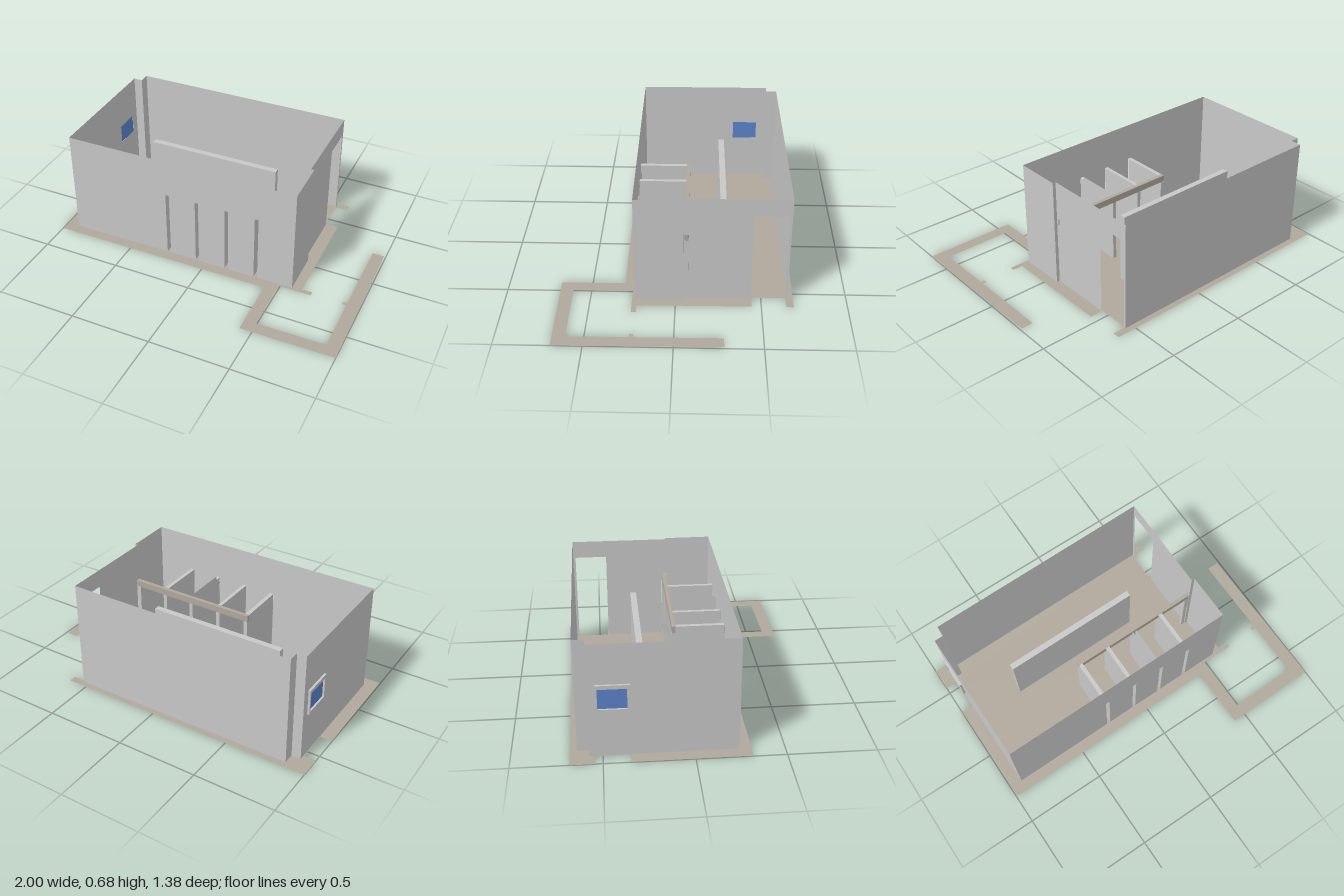
import * as THREE from 'three';

const make = (name, color) => {
  const m = new THREE.MeshStandardMaterial({ color, side: THREE.DoubleSide });
  m.name = name;
  return m;
};

export function createModel() {
  const group = new THREE.Group();
  const wallGrey = make('wallGrey', 0xc8c8c8);
  const stone = make('stone', 0xb0a89c);
  const glass = make('glassBlue', 0x5b84cc);

  const add = (parent, name, geometry, material) => {
    const mesh = new THREE.Mesh(geometry, material);
    mesh.name = name;
    parent.add(mesh);
    return mesh;
  };
  const shapeOf = (pts) => new THREE.Shape(pts.map(([x, y]) => new THREE.Vector2(x, y)));
  const rect = (u0, u1, v0, v1) => [[u0, v0], [u1, v0], [u1, v1], [u0, v1]];

  // Thin upright sheet from plan point a to b; openings are [u0, u1, y0, y1] along its length
  const sheet = (parent, name, a, b, height, openings = []) => {
    const dx = b[0] - a[0], dz = b[1] - a[1], len = Math.hypot(dx, dz);
    const pts = [[0, 0]];
    for (const [u0, u1, y0, y1] of openings) {
      if (y0 === 0) pts.push([u0, 0], [u0, y1], [u1, y1], [u1, 0]);
    }
    pts.push([len, 0], [len, height], [0, height]);
    const shape = shapeOf(pts);
    for (const o of openings) if (o[2] > 0) shape.holes.push(shapeOf(rect(...o)));
    const mesh = add(parent, name, new THREE.ShapeGeometry(shape), wallGrey);
    mesh.position.set(a[0], 0, a[1]);
    mesh.rotation.y = -Math.atan2(dz, dx);
  };
  const box = (parent, name, x0, x1, y0, y1, z0, z1, material) => {
    const mesh = add(parent, name, new THREE.BoxGeometry(x1 - x0, y1 - y0, z1 - z0), material);
    mesh.position.set((x0 + x1) / 2, (y0 + y1) / 2, (z0 + z1) / 2);
    return mesh;
  };

  // Floor slab with the path that runs around the side yard
  const floorPlan = [
    [-1, -0.68], [0.625, -0.69], [0.625, -0.645], [0.54, -0.645], [0.54, -0.445], [0.625, -0.445],
    [0.63, 0.225], [0.695, 0.225], [0.695, 0.255], [0.49, 0.255], [0.495, 0.61], [0.92, 0.605],
    [0.917, 0.25], [0.89, 0.25], [0.89, 0.227], [0.917, 0.227], [0.913, -0.28], [0.988, -0.28],
    [1, 0.68], [0.422, 0.687], [0.417, 0.305], [-0.995, 0.315], [-0.997, -0.347], [-0.925, -0.347],
    [-0.925, -0.54], [-1, -0.54],
  ];
  const floor = add(group, 'floor', new THREE.ShapeGeometry(shapeOf(floorPlan.map(([x, z]) => [x, -z]))), stone);
  floor.rotation.x = -Math.PI / 2;

  // Outer walls
  const H = 0.68, P = 0.44;
  const stalls = [[-0.27, -0.245], [-0.073, -0.05], [0.123, 0.147], [0.318, 0.342]];
  const walls = new THREE.Group();
  walls.name = 'outerWalls';
  group.add(walls);
  sheet(walls, 'frontWall', [-0.92, 0.248], [0.57, 0.238], H, stalls.map(([l, r]) => [l + 0.92, r + 0.92, 0, P]));
  sheet(walls, 'leftSideFrontWall', [0.57, 0.238], [0.567, -0.047], H);
  sheet(walls, 'leftSideStep', [0.567, -0.047], [0.547, -0.047], H);
  sheet(walls, 'leftSideDoorWall', [0.547, -0.047], [0.545, -0.655], H, [[0.002, 0.028, 0, P], [0.393, 0.593, 0, 0.57]]);
  sheet(walls, 'backWall', [0.545, -0.655], [-0.865, -0.642], H);
  sheet(walls, 'cornerReturn', [-0.865, -0.642], [-0.865, -0.575], H);
  sheet(walls, 'cornerStep', [-0.865, -0.575], [-0.922, -0.575], H);
  sheet(walls, 'windowWall', [-0.922, -0.575], [-0.92, 0.248], H, [[0.055, 0.215, 0.295, 0.417]]);

  // Window: projecting frame and glass pane
  const frame = shapeOf(rect(0.345, 0.53, 0.28, P));
  frame.holes.push(shapeOf(rect(0.36, 0.52, 0.295, 0.417)));
  const frameMesh = add(group, 'windowFrame', new THREE.ExtrudeGeometry(frame, { depth: 0.013, bevelEnabled: false }), wallGrey);
  frameMesh.rotation.y = Math.PI / 2;
  frameMesh.position.x = -0.935;
  const pane = add(group, 'windowGlass', new THREE.ShapeGeometry(shapeOf(rect(0.36, 0.52, 0.295, 0.417))), glass);
  pane.rotation.y = Math.PI / 2;
  pane.position.x = -0.924;

  // Hollow stall partitions with a post at the inner end; the third has an open top
  stalls.forEach(([l, r], i) => {
    const stall = new THREE.Group();
    stall.name = 'stallPartition' + (i + 1);
    group.add(stall);
    sheet(stall, 'partitionSideRight', [l, 0.24], [l, -0.05], P);
    sheet(stall, 'partitionSideLeft', [r, 0.24], [r, -0.05], P);
    if (i !== 2) {
      const top = add(stall, 'partitionTop', new THREE.PlaneGeometry(r - l, 0.29), wallGrey);
      top.rotation.x = -Math.PI / 2;
      top.position.set((l + r) / 2, P, 0.095);
    }
    box(stall, 'post', l, r, 0, 0.4, -0.073, -0.05, wallGrey);
  });
  box(group, 'endPost', 0.52, 0.543, 0, 0.4, -0.073, -0.05, wallGrey);

  // Rail over the stall doorways
  box(group, 'stallRail', -0.27, 0.545, 0.4, P, -0.073, -0.05, stone).rotation.y = 0.004;

  // Free-standing low wall in the middle of the room
  box(group, 'lowWall', -0.615, 0.247, 0, P, -0.293, -0.256, wallGrey).rotation.y = 0.007;

  return group;
}
